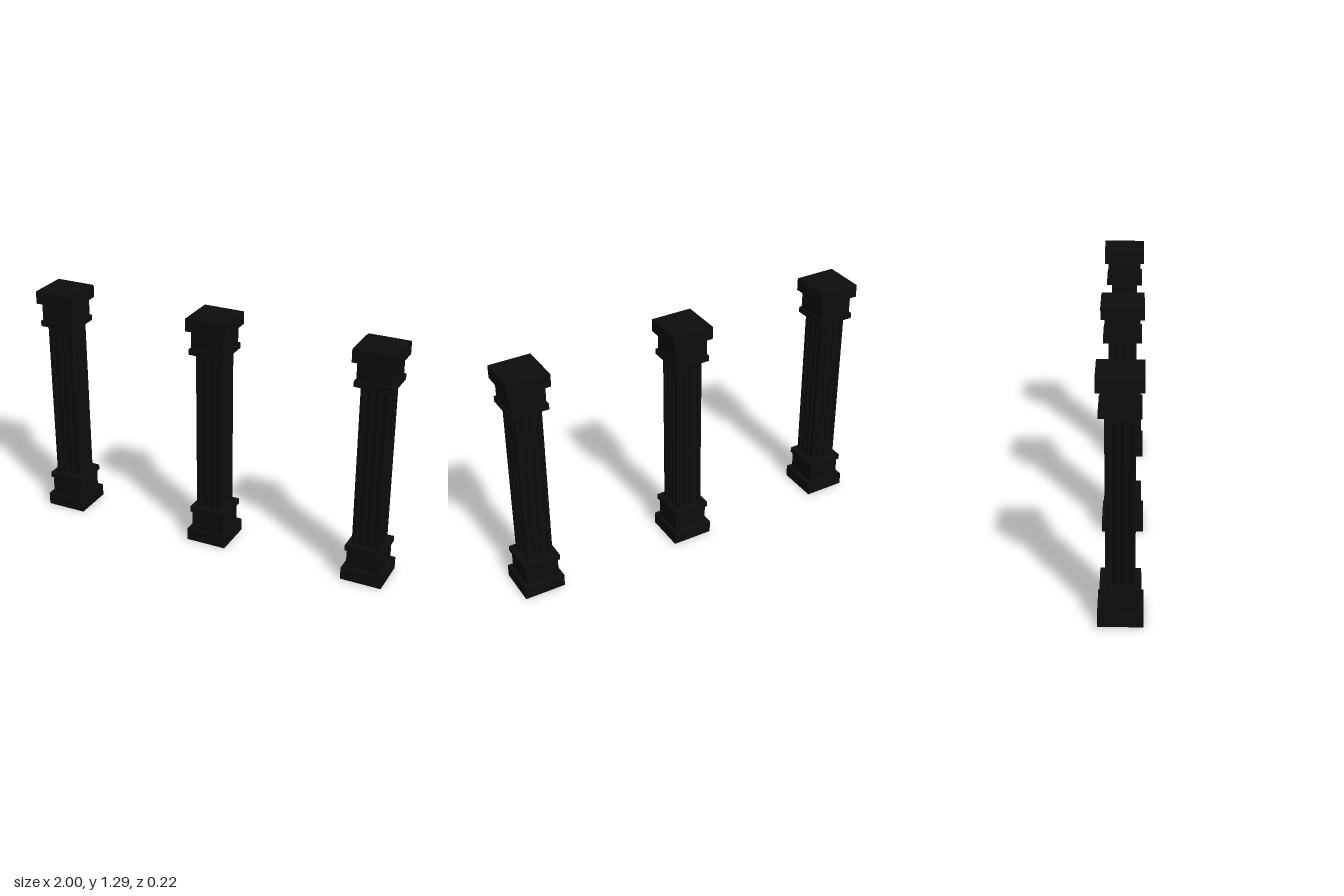
import * as THREE from 'three';

const material = new THREE.MeshStandardMaterial({ color: 0x0d0d0d });

// Stacked square blocks: name, half width, bottom, top
const BLOCKS = [
  ['plinth', 0.111, 0, 0.068],
  ['baseBlock', 0.09, 0.068, 0.17],
  ['baseCollar', 0.099, 0.17, 0.2],
  ['neckCollar', 0.099, 1.092, 1.122],
  ['capitalBlock', 0.09, 1.122, 1.222],
  ['capitalSlab', 0.111, 1.222, 1.29],
];

// Square shaft with three rounded flutes on every face
function shaftGeometry(half, height) {
  const radius = 0.012, steps = 8;
  const points = [];
  for (let side = 0; side < 4; side++) {
    const turn = side * Math.PI / 2;
    const add = (x, y) => points.push(
      new THREE.Vector2(x, y).rotateAround(new THREE.Vector2(), turn));
    add(-half, -half);
    for (const centre of [-0.04, 0, 0.04]) {
      for (let i = 0; i <= steps; i++) {
        const a = Math.PI * (1 - i / steps);
        add(centre + radius * Math.cos(a), -half + radius * Math.sin(a));
      }
    }
  }
  const geometry = new THREE.ExtrudeGeometry(new THREE.Shape(points),
    { depth: height, bevelEnabled: false });
  return geometry.rotateX(-Math.PI / 2);
}

function createColumn(shaftShape) {
  const column = new THREE.Group();
  for (const [name, half, bottom, top] of BLOCKS) {
    const block = new THREE.Mesh(
      new THREE.BoxGeometry(half * 2, top - bottom, half * 2), material);
    block.name = name;
    block.position.y = (bottom + top) / 2;
    column.add(block);
  }
  const shaft = new THREE.Mesh(shaftShape, material);
  shaft.name = 'flutedShaft';
  shaft.position.y = 0.2;
  column.add(shaft);
  return column;
}

export function createModel() {
  const model = new THREE.Group();
  model.name = 'columns';
  const shaftShape = shaftGeometry(0.0715, 0.892);
  // Row of three equal columns
  [['rightColumn', -0.889], ['middleColumn', 0], ['leftColumn', 0.889]].forEach(([name, x]) => {
    const column = createColumn(shaftShape);
    column.name = name;
    column.position.x = x;
    model.add(column);
  });
  return model;
}
